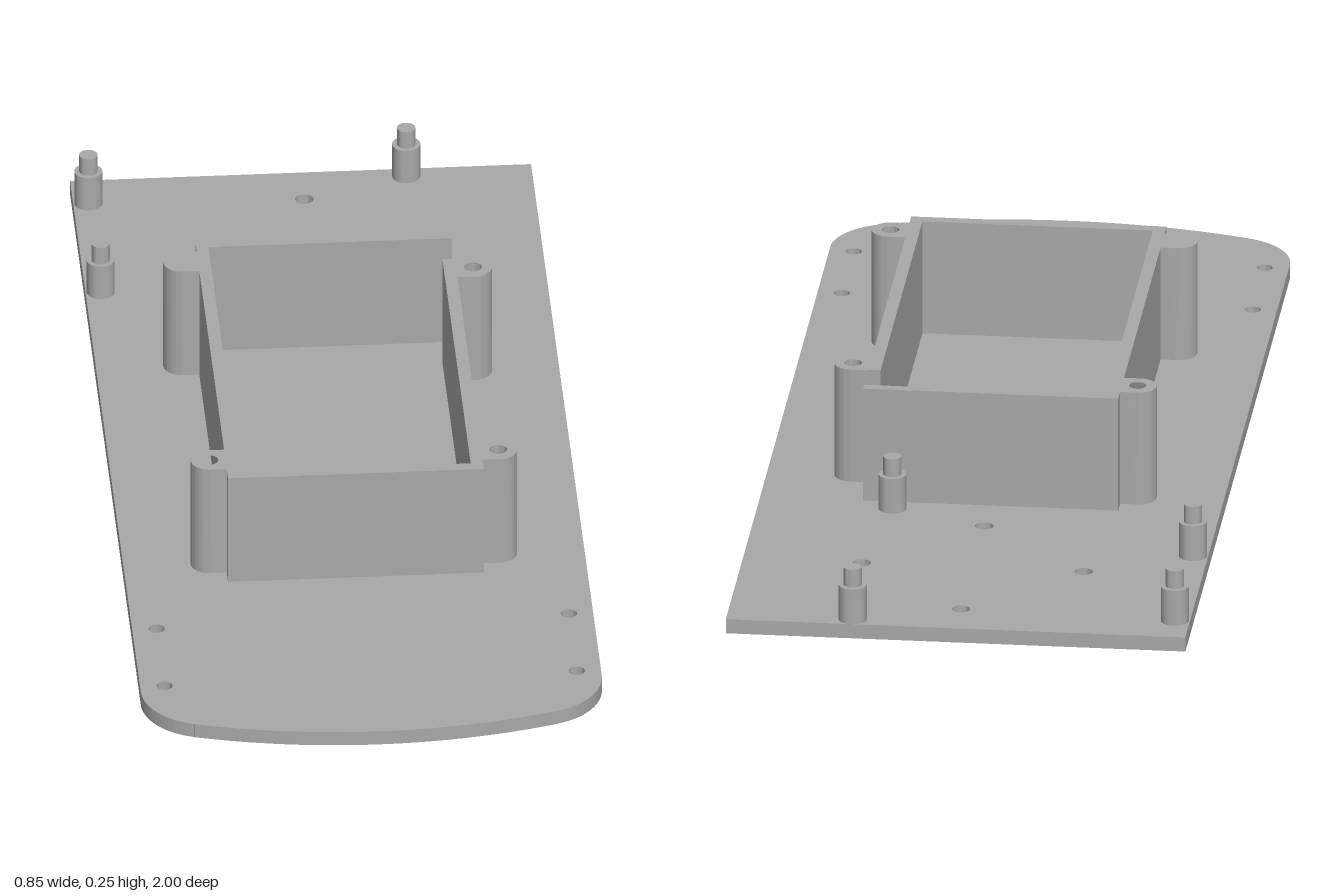
import * as THREE from 'three';
import { toCreasedNormals } from 'three/addons/utils/BufferGeometryUtils.js';

const PLATE_TOP = 0.028, BOX_TOP = 0.25;

export function createModel() {
  const model = new THREE.Group();
  const grey = new THREE.MeshStandardMaterial({ color: 0xa8a8a8 });
  grey.name = 'grey plastic';

  function add(geometry, name, parent = model) {
    const mesh = new THREE.Mesh(geometry, grey);
    mesh.name = name;
    parent.add(mesh);
    return mesh;
  }

  // Extrudes a plan drawn in (x, z) between two heights
  function slab(shape, bottom, top) {
    const geo = new THREE.ExtrudeGeometry(shape, { depth: top - bottom, bevelEnabled: false, curveSegments: 24 });
    geo.rotateX(Math.PI / 2).translate(0, top, 0);
    return toCreasedNormals(geo, 0.5);
  }

  function drill(shape, x, z, r) {
    shape.holes.push(new THREE.Path().absarc(x, z, r, 0, Math.PI * 2, true));
  }

  // Base plate: square back, rounded corners running into a bowed front
  const half = 0.425, corner = 0.127, bow = 1.147, cornerZ = 0.828;
  const tilt = Math.asin((half - corner) / (bow - corner));
  const plate = new THREE.Shape();
  plate.moveTo(-half, -1);
  plate.lineTo(half, -1);
  plate.lineTo(half, cornerZ);
  plate.absarc(half - corner, cornerZ, corner, 0, Math.PI / 2 - tilt, false);
  plate.absarc(0, 1 - bow, bow, Math.PI / 2 - tilt, Math.PI / 2 + tilt, false);
  plate.absarc(corner - half, cornerZ, corner, Math.PI / 2 + tilt, Math.PI, false);
  plate.closePath();
  for (const [x, z] of [[0, -0.905], [0, -0.497], [0.205, -0.7], [-0.205, -0.7]]) drill(plate, x, z, 0.017);
  for (const x of [-0.38, 0.38]) for (const z of [0.605, 0.81]) drill(plate, x, z, 0.015);
  add(slab(plate, 0, PLATE_TOP), 'basePlate');

  // Open box wall, with a cable gap at the back of its left side
  const walls = new THREE.Shape([
    [0.235, -0.397], [0.235, -0.378], [-0.214, -0.378], [-0.214, 0.426], [0.212, 0.426],
    [0.212, -0.305], [0.235, -0.305], [0.235, 0.448], [-0.237, 0.448], [-0.237, -0.397],
  ].map(([x, z]) => new THREE.Vector2(x, z)));
  const box = new THREE.Group();
  box.name = 'box';
  model.add(box);
  add(slab(walls, PLATE_TOP, BOX_TOP), 'boxWalls', box);

  // Screw columns with bored centres
  for (const [side, z] of [[-1, -0.329], [-1, 0.38], [1, -0.273], [1, 0.38]]) {
    const r = 0.035, x = side * 0.266, wallX = side * 0.235;
    const column = new THREE.Shape();
    column.moveTo(wallX, z - r);
    column.lineTo(x, z - r);
    column.absarc(x, z, r, -Math.PI / 2, Math.PI / 2, side < 0);
    column.lineTo(wallX, z + r);
    column.closePath();
    drill(column, x, z, 0.016);
    add(slab(column, PLATE_TOP, BOX_TOP), 'screwColumn', box);
  }

  // Stepped standoffs for a circuit board
  const profile = [[0.026, PLATE_TOP], [0.026, 0.097], [0.017, 0.097], [0.017, 0.132], [0, 0.132]]
    .map(([r, y]) => new THREE.Vector2(r, y));
  const standoff = toCreasedNormals(new THREE.LatheGeometry(profile, 32), 0.5);
  for (const [x, z] of [[-0.397, -0.919], [-0.397, -0.602], [0.193, -0.974], [0.177, -0.43]]) {
    add(standoff, 'standoff').position.set(x, 0, z);
  }

  return model;
}
